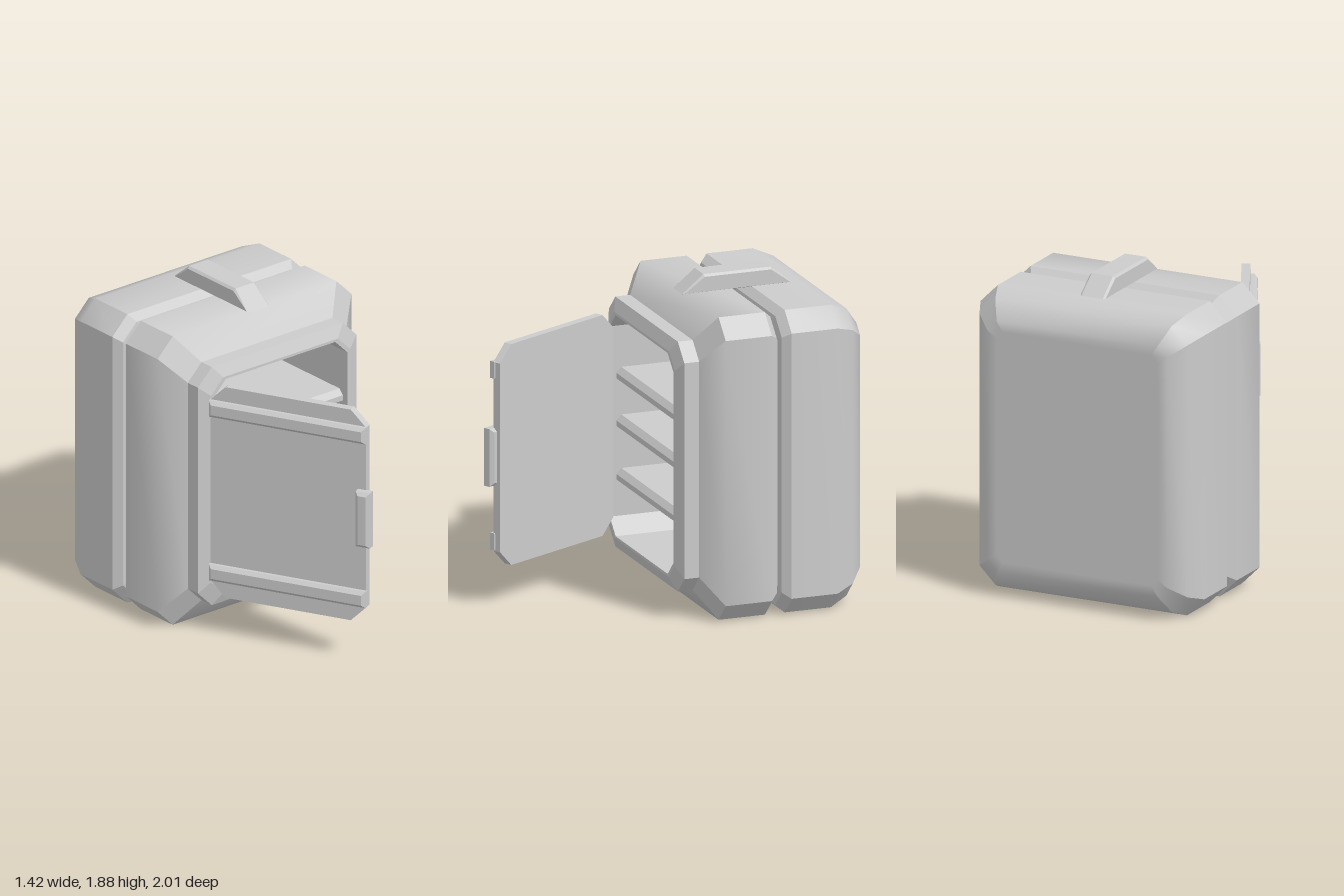
import * as THREE from 'three';
import { mergeGeometries, toCreasedNormals } from 'three/addons/utils/BufferGeometryUtils.js';

const CY = 0.89; // height of the cabinet's centre line
const grey = new THREE.MeshStandardMaterial({ color: 0xcccccc });

function add(parent, name, geometry) {
  const mesh = new THREE.Mesh(geometry, grey);
  mesh.name = name;
  parent.add(mesh);
  return mesh;
}

// Corners of a rectangle with cut corners, counter-clockwise
function octagon(w, h, c) {
  return [[w, c - h], [w, h - c], [w - c, h], [c - w, h],
    [-w, h - c], [-w, c - h], [c - w, -h], [w - c, -h]];
}

// Loft octagons [z, halfWidth, halfHeight, cut]; the eight sides stay sharp to each other
function loft(sections, crease) {
  const rings = sections.map(([z, w, h, c]) =>
    octagon(w, h, c).map(([x, y]) => [x, y + CY, z]));
  const strips = [];
  for (let j = 0; j < 8; j++) {
    const k = (j + 1) % 8, pos = [];
    for (let i = 0; i + 1 < rings.length; i++) {
      const a = rings[i], b = rings[i + 1];
      pos.push(...a[j], ...a[k], ...b[k], ...a[j], ...b[k], ...b[j]);
    }
    const g = new THREE.BufferGeometry();
    g.setAttribute('position', new THREE.Float32BufferAttribute(pos, 3));
    strips.push(toCreasedNormals(g, crease));
  }
  return mergeGeometries(strips);
}

// Extruded outline with a small chamfer; outline and depth are the final sizes
function slab(points, depth, bevel) {
  const shape = new THREE.Shape(points.map(([x, y]) => new THREE.Vector2(x, y)));
  const g = new THREE.ExtrudeGeometry(shape, {
    depth: depth - 2 * bevel, bevelEnabled: bevel > 0, bevelSegments: 1,
    bevelSize: bevel, bevelThickness: bevel, bevelOffset: -bevel,
  });
  return g.translate(0, 0, bevel);
}

const rect = (x0, x1, y0, y1) => [[x0, y0], [x1, y0], [x1, y1], [x0, y1]];

export function createModel() {
  const model = new THREE.Group();
  model.name = 'cabinet';

  // Cabinet body, from back to front
  add(model, 'backShell', loft([
    [-1, 0, 0, 0], [-1, 0.51, 0.68, 0.04], [-1, 0.57, 0.74, 0.06],
    [-0.92, 0.66, 0.845, 0.1], [-0.81, 0.71, 0.89, 0.11], [-0.53, 0.71, 0.89, 0.11],
  ], 1));
  add(model, 'seamGroove', loft([
    [-0.53, 0.71, 0.89, 0.11], [-0.485, 0.67, 0.85, 0.1], [-0.475, 0.63, 0.81, 0.09],
    [-0.465, 0.63, 0.81, 0.09], [-0.455, 0.67, 0.85, 0.1], [-0.41, 0.71, 0.89, 0.11],
  ], 0.3));
  add(model, 'frontShell', loft([
    [-0.41, 0.71, 0.89, 0.11], [-0.13, 0.71, 0.89, 0.11], [-0.02, 0.58, 0.735, 0.1],
  ], 1));
  add(model, 'doorFrame', loft([
    [-0.02, 0.58, 0.735, 0.1], [0.07, 0.58, 0.735, 0.1],
    [0.1, 0.51, 0.665, 0.09], [0.1, 0.49, 0.65, 0.09],
  ], 0.3));
  add(model, 'interior', loft([
    [0.1, 0.49, 0.65, 0.09], [-0.5, 0.49, 0.65, 0.09], [-0.5, 0, 0, 0],
  ], 0.3));

  // Shelves with a sloped upper front edge, profile in (z, y)
  for (const y of [0.545, 0.86, 1.14]) {
    const shelf = add(model, 'shelf', slab(
      [[-0.5, 0], [0.06, 0], [0.06, 0.032], [0.03, 0.064], [-0.5, 0.064]], 0.98, 0));
    shelf.rotation.y = -Math.PI / 2;
    shelf.position.set(0.49, y, 0);
  }

  // Carrying handle on top
  const grip = add(model, 'topHandle', slab(
    [[-0.78, 1.775], [-0.11, 1.775], [-0.24, 1.88], [-0.65, 1.88]], 0.16, 0.013));
  grip.rotation.y = -Math.PI / 2;
  grip.position.x = 0.1;

  // Open door: local x runs from the hinge to the free edge, local z points outward
  const door = new THREE.Group();
  door.name = 'door';
  door.position.set(-0.474, 0, 0.082);
  door.rotation.y = -1.107;
  model.add(door);
  add(door, 'doorPanel', slab(
    octagon(0.48, 0.65, 0.095).map(([x, y]) => [x + 0.48, y + CY]), 0.05, 0));
  for (const y of [0.34, 1.35]) {
    add(door, 'hingeBar', slab(rect(0, 0.965, y, y + 0.1), 0.07, 0.02)).position.z = 0.02;
  }
  add(door, 'doorHandle', slab(rect(0.91, 1, 0.72, 1.06), 0.08, 0.02)).position.z = 0.025;

  return model;
}
